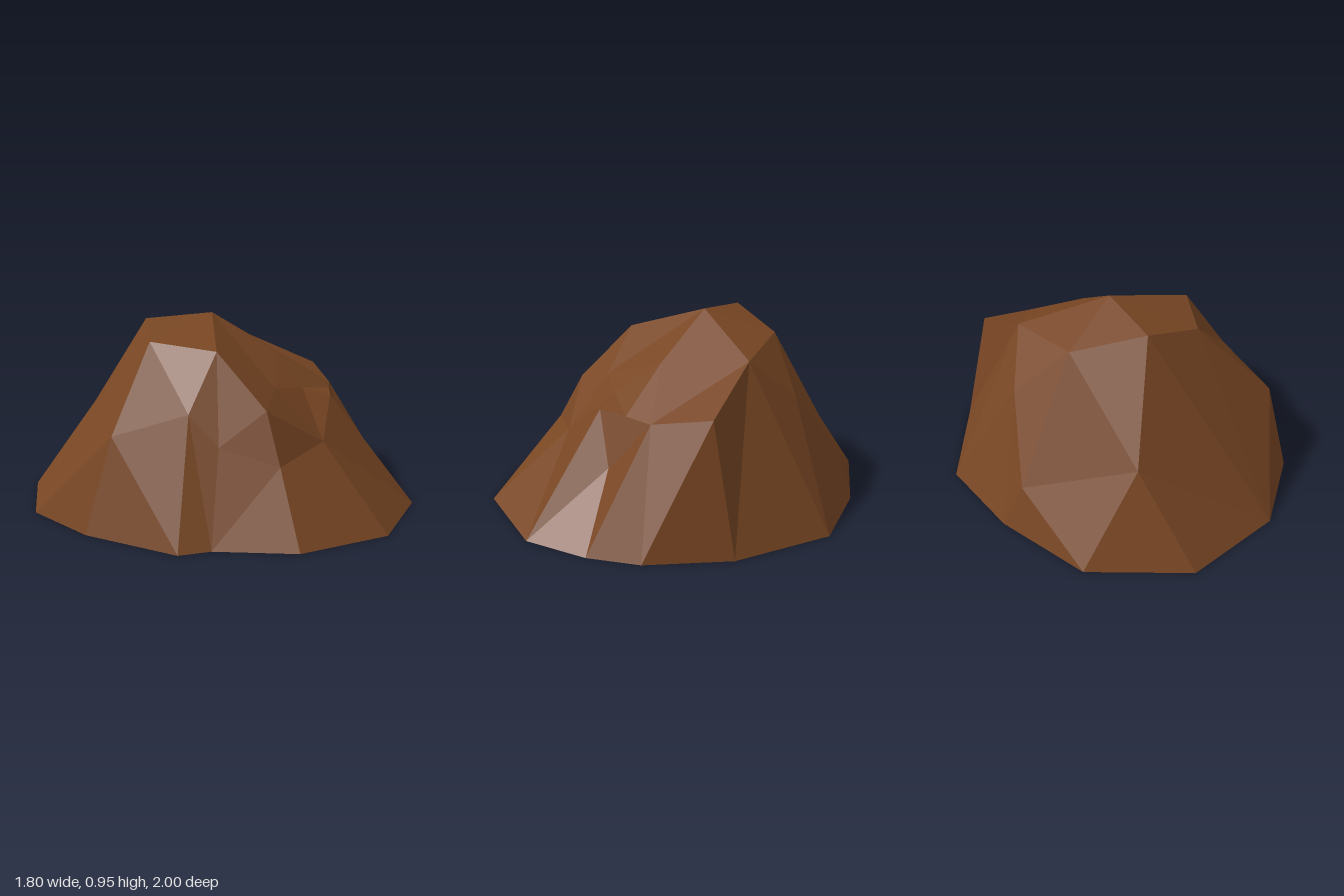
import * as THREE from 'three';

// Rim of the open shell, on the ground: x, z
const RIM = [
  [-0.04, -1], [0.42, -0.8], [0.78, -0.53], [0.9, -0.03], [0.84, 0.38], [0.72, 0.61], [0.5, 0.86],
  [0, 1], [-0.44, 0.82], [-0.67, 0.51], [-0.8, 0.43], [-0.9, -0.06], [-0.86, -0.49], [-0.55, -0.89],
];

// Corners of the chipped faces above the rim: x, y, z
const CORNERS = [
  [0.04, 0.955, -0.11], [-0.2, 0.925, -0.36], [0.15, 0.84, -0.45], [-0.4, 0.84, -0.13],
  [0.48, 0.79, -0.21], [-0.29, 0.81, 0.21], [0.25, 0.745, 0.16],
  // right ledge
  [0.77, 0.62, 0.04], [0.58, 0.555, 0.28], [0.44, 0.553, 0.37], [0.3, 0.55, 0.47], [0.46, 0.31, 0.46],
  // front
  [-0.05, 0.62, 0.38], [0.18, 0.59, 0.38], [-0.26, 0.555, 0.49], [-0.31, 0.32, 0.61], [0.05, 0.37, 0.6],
  // left hollow
  [-0.77, 0.45, -0.01], [-0.5, 0.54, 0.22], [-0.46, 0.4, 0.37],
  // back
  [-0.24, 0.44, -0.74], [0.32, 0.23, -0.76], [0.43, 0.58, -0.47],
];

// True when no other point lies in the plan circle through a, b and c
function emptyCircle(points, a, b, c) {
  const bx = b.x - a.x, bz = b.z - a.z, cx = c.x - a.x, cz = c.z - a.z;
  const d = 2 * (bx * cz - bz * cx);
  if (Math.abs(d) < 1e-6) return false;
  const b2 = bx * bx + bz * bz, c2 = cx * cx + cz * cz;
  const ux = (cz * b2 - bz * c2) / d, uz = (bx * c2 - cx * b2) / d;
  const r2 = ux * ux + uz * uz;
  return points.every((p) => p === a || p === b || p === c ||
    (p.x - a.x - ux) ** 2 + (p.z - a.z - uz) ** 2 > r2 - 1e-9);
}

// Joins the corners into facets that face upwards
function facetedShell(points) {
  const facets = [];
  const n = points.length;
  for (let i = 0; i < n; i++) for (let j = i + 1; j < n; j++) for (let k = j + 1; k < n; k++) {
    const a = points[i], b = points[j], c = points[k];
    if (a.y + b.y + c.y === 0 || !emptyCircle(points, a, b, c)) continue;
    const up = (b.z - a.z) * (c.x - a.x) - (b.x - a.x) * (c.z - a.z) > 0;
    facets.push(...(up ? [a, b, c] : [a, c, b]));
  }
  const geometry = new THREE.BufferGeometry().setFromPoints(facets);
  geometry.computeVertexNormals();
  return geometry;
}

export function createModel() {
  const group = new THREE.Group();
  group.name = 'rock';

  const brown = new THREE.MeshStandardMaterial({
    color: 0x784623, flatShading: true, side: THREE.DoubleSide,
  });
  brown.name = 'earth brown';

  const points = [
    ...RIM.map(([x, z]) => new THREE.Vector3(x, 0, z)),
    ...CORNERS.map((p) => new THREE.Vector3(...p)),
  ];
  const shell = new THREE.Mesh(facetedShell(points), brown);
  shell.name = 'rockShell';
  group.add(shell);
  return group;
}
